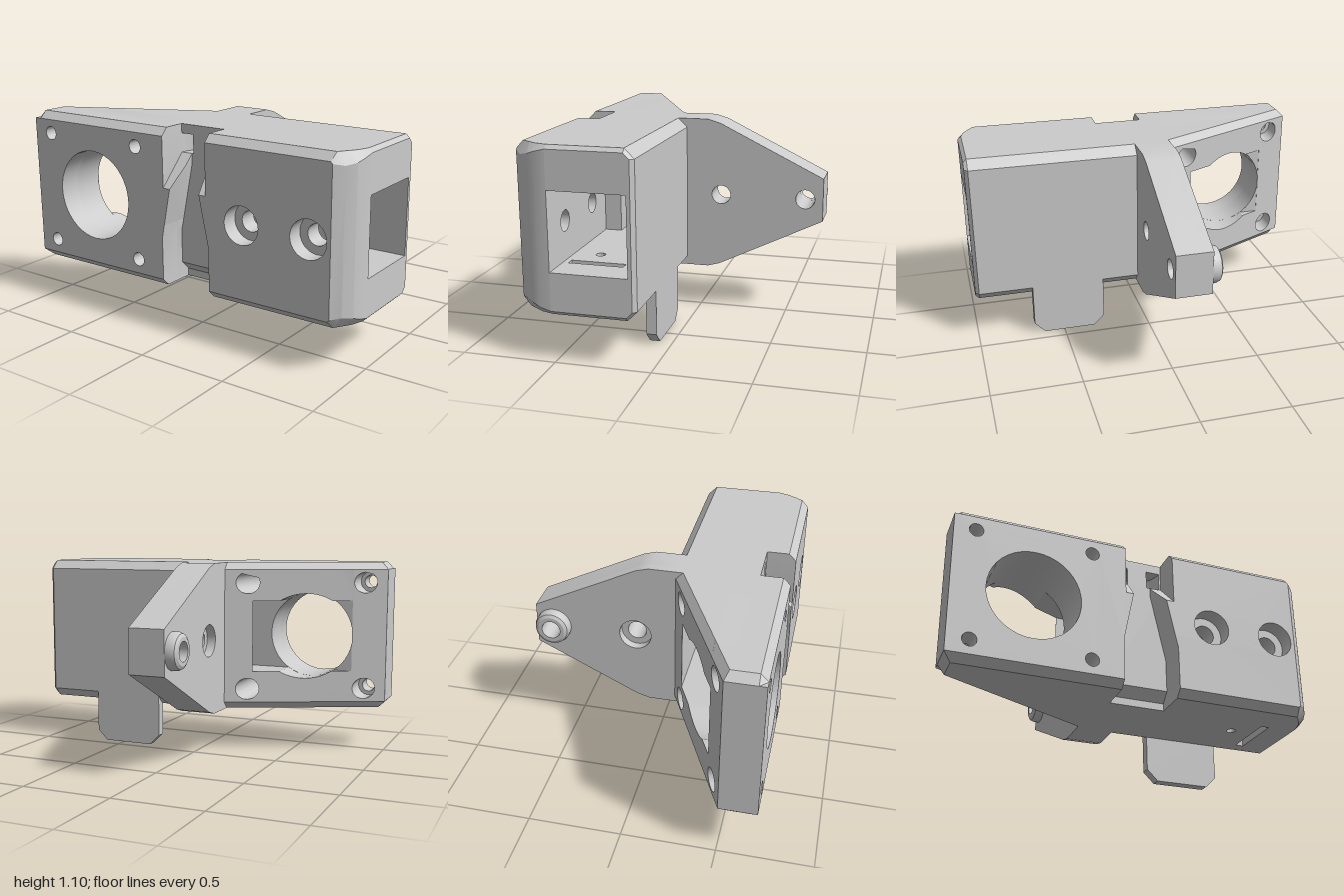
import * as THREE from 'three';
import { toCreasedNormals } from 'three/addons/utils/BufferGeometryUtils.js';
import { ConvexGeometry } from 'three/addons/geometries/ConvexGeometry.js';

const MID = 0.675; // height of the main axis
const clamp = THREE.MathUtils.clamp;
const material = new THREE.MeshStandardMaterial({ color: 0xcccccc });

// closed outline with round holes [x, y, r]
function outline(points, holes = []) {
  const shape = new THREE.Shape(points.map(([x, y]) => new THREE.Vector2(x, y)));
  return drill(shape, holes);
}
function drill(shape, holes) {
  for (const [x, y, r] of holes) shape.holes.push(new THREE.Path().absarc(x, y, r, 0, Math.PI * 2));
  return shape;
}
function cutRect(shape, x0, y0, x1, y1) {
  shape.holes.push(new THREE.Path().moveTo(x0, y0).lineTo(x1, y0).lineTo(x1, y1).lineTo(x0, y1));
}

// extrusion through given levels (numbers or functions of x); rule may move each vertex
function layered(shape, levels, rule) {
  const n = levels.length - 1;
  const geo = new THREE.ExtrudeGeometry(shape, { depth: n, steps: n, bevelEnabled: false, curveSegments: 20 });
  const pos = geo.attributes.position;
  const v = new THREE.Vector3();
  for (let i = 0; i < pos.count; i++) {
    v.fromBufferAttribute(pos, i);
    const level = levels[Math.round(v.z)];
    v.z = typeof level === 'function' ? level(v.x) : level;
    if (rule) rule(v);
    pos.setXYZ(i, v.x, v.y, v.z);
  }
  return geo;
}

// profile of [z, y] points swept along x
function across(points, holes, levels, rule) {
  const shape = outline(points.map(([z, y]) => [-z, y]), holes.map(([z, y, r]) => [-z, y, r]));
  return layered(shape, levels, rule).rotateY(Math.PI / 2);
}

export function createModel() {
  const model = new THREE.Group();
  function add(name, geo, mat = material) {
    const mesh = new THREE.Mesh(toCreasedNormals(geo, 0.5), mat);
    mesh.name = name;
    model.add(mesh);
  }

  // --- round mount: wedge with a slanted back, large bore and four screws
  const slant = (x) => 0.5 - 0.4 * (x + 1) / 0.85;
  const seam = -0.8235, floor = slant(seam), kink = seam + 0.085;
  const bevel = (v) => {
    const inset = Math.max(clamp(slant(v.x) + 0.04 - v.z, 0, 0.04), clamp(v.z - 0.66, 0, 0.04));
    v.y = clamp(v.y, 0.25 + inset, 1.1 - inset);
  };
  const bore = [-0.575, MID, 0.246];
  const screws = (xs, r) => xs.flatMap((x) => [[x, 0.368, r], [x, 0.984, r]]);
  const innerEdge = [[-0.1, 0.25], [-0.1, 0.52], [-0.085, 0.59], [-0.085, 1.1]];

  add('mountFace', layered(
    outline([[-1, 0.29], [-0.96, 0.25], ...innerEdge, [-0.96, 1.1], [-1, 1.06]],
      [bore, ...screws([-0.885, -0.27], 0.037)]),
    [0.58, 0.66, 0.7], bevel));
  add('mountOuterEnd', layered(
    outline([[-1, 0.29], [-0.96, 0.25], [seam, 0.25], [seam, 1.1], [-0.96, 1.1], [-1, 1.06]],
      screws([-0.885], 0.06)),
    [slant, (x) => slant(x) + 0.04, 0.58], bevel));
  add('mountMiddle', layered(
    outline([[seam, 0.25], [kink, 0.25], ...innerEdge, [kink, 1.1], [seam, 1.1]],
      [bore, ...screws([-0.27], 0.062)]),
    [floor, (x) => Math.max(slant(x) + 0.04, floor + 0.0005), 0.58], bevel));

  // rear layer, open where the channel meets the bore
  const a = Math.asin(0.205 / bore[2]);
  const rear = new THREE.Shape();
  rear.moveTo(seam, 0.25).lineTo(kink, 0.25).lineTo(-0.15, 0.25).lineTo(-0.15, 0.47);
  rear.absarc(bore[0], MID, bore[2], -a, a - Math.PI, true);
  rear.lineTo(seam + 0.005, 0.47).lineTo(seam + 0.005, 0.88);
  rear.absarc(bore[0], MID, bore[2], Math.PI - a, a, true);
  rear.lineTo(-0.15, 0.88).lineTo(-0.15, 1.1).lineTo(kink, 1.1).lineTo(seam, 1.1);
  add('mountRear', layered(drill(rear, screws([-0.27], 0.062)),
    [slant, (x) => Math.min(slant(x) + 0.04, floor), floor], bevel));
  add('channelBackWall', layered(
    outline([[-0.298, 0.47], [-0.15, 0.47], [-0.15, 0.88], [-0.298, 0.88]]), [slant, 0.17]));

  // --- centre block behind the front slot, pierced by the channel
  const centre = outline([[-0.07, 0.3], [-0.12, 0.25], [-0.49, 0.25], [-0.49, 0.29], [-0.54, 0.34],
    [-0.54, 0.95], [-0.38, 0.95], [-0.38, 1.05], [-0.54, 1.05], [-0.54, 1.1], [-0.12, 1.1], [-0.07, 1.05]]);
  cutRect(centre, -floor, 0.47, -0.17, 0.88);
  add('centreBlock', layered(centre, [-0.15, 0.2]).rotateY(Math.PI / 2));

  // curved strap tunnel at the top of the slot
  const tunnel = new THREE.Shape();
  tunnel.moveTo(-0.15, 0.54).lineTo(-0.15, 0.38).lineTo(0.2, 0.38).lineTo(0.2, 0.54);
  tunnel.absarc(0.045, 0.54, 0.13, 0, -Math.PI, true);
  const core = new THREE.Shape().absarc(0.045, 0.54, 0.056, 0, -Math.PI, true);
  for (const [name, shape] of [['strapTunnel', tunnel], ['strapCore', core]]) {
    add(name, layered(shape, [-1.05, -0.95]).rotateX(Math.PI / 2));
  }

  // --- sloped lips that narrow the front slot
  const lip = [[-0.085, 0.59, 0.54], [-0.085, 0.59, 0.7], [-0.02, 0.9, 0.54], [-0.02, 0.9, 0.59],
    [-0.02, 0.95, 0.54], [-0.085, 0.95, 0.54], [-0.085, 0.79, 0.7], [-0.043, 0.79, 0.7]];
  for (const [name, m] of [['slotLipRight', (x) => x], ['slotLipLeft', (x) => 0.1 - x]]) {
    add(name, new ConvexGeometry(lip.map(([x, y, z]) => new THREE.Vector3(m(x), y, z))));
  }

  // --- box housing: front wall with two counterbored screws and a rounded end
  // per depth: z, outermost x, x of the top edge, height of the corner cut
  const endCurve = [[0.51, 1, 0.98, 0.02], [0.57, 0.995, 0.96, 0.035], [0.61, 0.98, 0.935, 0.05],
    [0.66, 0.945, 0.9, 0.06], [0.7, 0.9, 0.89, 0.05]];
  const roundEnd = (v) => {
    const [, outer, top, cut] = endCurve.find(([z]) => v.z <= z + 1e-6);
    let inset = clamp(v.z - 0.66, 0, 0.04);
    if (v.x > 0.99) {
      v.x = outer;
      inset = cut;
    } else if (v.x > 0.97) v.x = top;
    v.y = clamp(v.y, 0.25 + inset, 1.1 - inset);
  };
  const wall = [...innerEdge.map(([x, y]) => [0.1 - x, y]).reverse(),
    [0.98, 0.25], [1, 0.25 + 0.02], [1, 1.08], [0.98, 1.1]];
  wall.splice(0, 4, ...wall.slice(0, 4));
  const boxScrews = (r) => [[0.4, MID, r], [0.78, MID, r]];
  add('boxFrontInner', layered(outline(wall, boxScrews(0.055)), [0.51, 0.57, 0.61], roundEnd));
  add('boxFrontOuter', layered(outline(wall, boxScrews(0.1)), [0.61, 0.66, 0.7], roundEnd));

  // roof and back wall
  add('boxRoofAndBack', across(
    [[0.12, 0.25], [0.12, 0.47], [0.11, 0.47], [0.11, 0.88], [0.51, 0.88], [0.51, 1.1],
      [0.12, 1.1], [0.07, 1.05], [0.07, 0.3]], [], [0.2, 0.98, 1], (v) => {
      if (v.z < 0.99) return;
      v.x = Math.min(v.x, -0.09);
      v.y = clamp(v.y, 0.27, 1.08);
    }));

  // floor with a slit and a small hole
  const base = outline([[0.2, 0.12], [1, 0.12], [1, 0.51], [0.2, 0.51]], [[0.66, 0.37, 0.025]]);
  cutRect(base, 0.785, 0.19, 0.83, 0.48);
  add('boxFloor', layered(base, [-0.47, -0.27, -0.25], (v) => {
    if (v.z > -0.26) v.x = Math.min(v.x, 0.98);
  }).rotateX(Math.PI / 2));

  // --- hanging tab under the back wall
  add('lowerTab', layered(outline([[0.26, 0.06], [0.32, 0], [0.615, 0], [0.675, 0.06],
    [0.675, 0.3], [0.26, 0.3]]), [0.07, 0.125]));

  // --- tapered rear arm, two pivot holes, one counterbored
  const arm = [[0.12, 1.1], [-0.05, 1.1], [-0.12, 1.08], [-0.7, 0.795],
    [-0.7, 0.555], [-0.12, 0.27], [-0.05, 0.25], [0.12, 0.25]];
  const tip = [-0.602, MID, 0.053];
  add('rearArmOuter', across(arm, [[-0.127, MID, 0.09], tip], [-0.15, -0.1]));
  add('rearArmInner', across(arm, [[-0.127, MID, 0.053], tip], [-0.1, 0.05]));

  // rounded boss around the tip hole
  const ring = [[0.1, 0], [0.1, 0.03], [0.092, 0.05], [0.075, 0.06], [0.053, 0.06], [0.053, 0]];
  const boss = new THREE.LatheGeometry(ring.map(([r, h]) => new THREE.Vector2(r, h)), 40);
  boss.rotateZ(Math.PI / 2).translate(-0.15, MID, -0.6);
  const openMaterial = material.clone();
  openMaterial.side = THREE.DoubleSide;
  add('armBoss', boss, openMaterial);

  return model;
}
